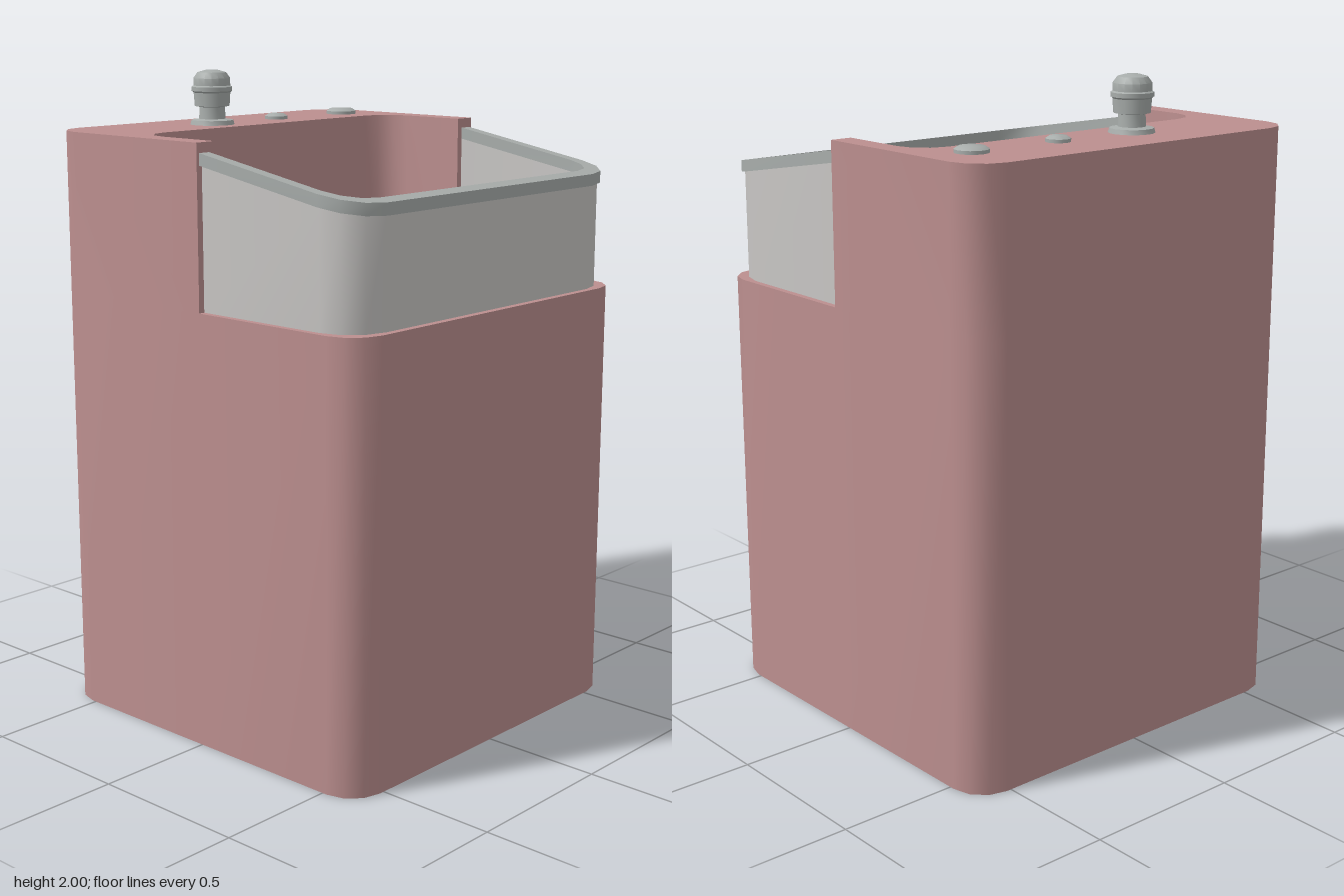
import * as THREE from 'three';
import { toCreasedNormals } from 'three/addons/utils/BufferGeometryUtils.js';

const CUT = 0.02;      // z of the step between the tall back and the low front
const LEDGE = 1.34;    // height of the front ledge
const TOP = 1.83;      // height of the back deck

// Half outline (U shape) from (+w, CUT) round two corners to (-w, CUT).
function halfOutline(w, zEnd, r) {
  const s = Math.sign(zEnd);
  const side = [[w, CUT]];
  for (let i = 0; i <= 3; i++) {
    const a = (i / 3) * Math.PI / 2;
    side.push([w - r + r * Math.cos(a), zEnd - s * r + s * r * Math.sin(a)]);
  }
  return [...side, ...side.map(([x, z]) => [-x, z]).reverse()];
}

// Closed outline made of the front half and the back half.
function fullOutline(w, zBack, zFront, r) {
  return [...halfOutline(w, zFront, r), ...halfOutline(w, zBack, r).reverse().slice(1, -1)];
}

// Lift an outline to a height, which may depend on z.
const at = (outline, y) => outline.map(([x, z]) => [x, typeof y === 'function' ? y(z) : y, z]);

// Skin between successive rings of equal length.
function loft(rings, closed) {
  const n = rings[0].length, index = [];
  for (let j = 0; j < rings.length - 1; j++) {
    for (let i = 0; i < (closed ? n : n - 1); i++) {
      const k = (i + 1) % n;
      const a = j * n + i, b = j * n + k, c = a + n, d = b + n;
      index.push(a, c, b, b, c, d);
    }
  }
  const geo = new THREE.BufferGeometry();
  geo.setAttribute('position', new THREE.Float32BufferAttribute(rings.flat(2), 3));
  geo.setIndex(index);
  return toCreasedNormals(geo, 0.62);
}

// Turned part from [radius, height] pairs.
function turned(profile, sides = 16) {
  const geo = new THREE.LatheGeometry(profile.map(([r, y]) => new THREE.Vector2(r, y)), sides);
  return toCreasedNormals(geo, 0.62);
}

export function createModel() {
  const model = new THREE.Group();
  model.name = 'washBasinCabinet';

  const pink = new THREE.MeshStandardMaterial({ color: 0xbc8f8f, side: THREE.DoubleSide });
  pink.name = 'dustyPink';
  const steel = new THREE.MeshStandardMaterial({ color: 0xc8c6c4, side: THREE.DoubleSide });
  steel.name = 'paleSteel';
  const metal = new THREE.MeshStandardMaterial({ color: 0xa8adab, side: THREE.DoubleSide });
  metal.name = 'greyMetal';

  const add = (name, geo, mat, x = 0, y = 0, z = 0) => {
    const mesh = new THREE.Mesh(geo, mat);
    mesh.name = name;
    mesh.position.set(x, y, z);
    model.add(mesh);
    return mesh;
  };

  // Cabinet: lower shell open underneath, front ledge, tall back with deck
  const outer = fullOutline(0.625, -0.625, 0.625, 0.11);
  const backOuter = halfOutline(0.625, -0.625, 0.11);
  const backInner = halfOutline(0.555, -0.3, 0.1);
  add('cabinetShell', loft([at(outer, 0), at(outer, LEDGE)], true), pink);
  add('frontLedge', loft([
    at(halfOutline(0.625, 0.625, 0.11), LEDGE),
    at(halfOutline(0.555, 0.555, 0.1), LEDGE),
  ]), pink);
  add('raisedBack', loft([
    at(backOuter, LEDGE), at(backOuter, TOP), at(backInner, TOP), at(backInner, LEDGE),
  ]), pink);
  for (const s of [-1, 1]) {
    add('stepFace', new THREE.PlaneGeometry(0.07, TOP - LEDGE), pink, s * 0.59, (TOP + LEDGE) / 2, CUT);
  }

  // Bowl: rounded sides running down to a flat floor
  const depth = 0.12;
  const bowl = [];
  for (let i = 0; i <= 6; i++) {
    const a = (i / 6) * Math.PI / 2, k = 1 - Math.cos(a);
    bowl.push(at(
      fullOutline(0.555 - 0.1 * k, -0.3 + 0.05 * k, 0.555 - 0.045 * k, 0.1 - 0.09 * k),
      LEDGE - depth * Math.sin(a)));
  }
  add('bowl', loft(bowl, true), steel);
  add('bowlFloor', new THREE.PlaneGeometry(0.91, 0.76).rotateX(-Math.PI / 2), steel, 0, LEDGE - depth, 0.13);

  // Drain in the floor
  add('drainRing', turned([[0.08, 0], [0.078, 0.008], [0.066, 0.008], [0.064, 0.002]], 24),
    steel, 0, LEDGE - depth, 0.12);
  add('drainCover', turned([[0.064, 0.003], [0, 0.003]], 24), metal, 0, LEDGE - depth, 0.12);

  // Splash guard: thin wall with a sloping rim
  const rimTop = z => 1.8 - 0.175 * (z - CUT);
  const rimLow = z => rimTop(z) - 0.036;
  const guardOut = halfOutline(0.605, 0.603, 0.13);
  const guardIn = halfOutline(0.575, 0.565, 0.11);
  const rimOut = halfOutline(0.615, 0.61, 0.135);
  add('splashGuardOutside', loft([at(guardOut, LEDGE), at(guardOut, rimLow)]), steel);
  add('splashGuardInside', loft([at(guardIn, rimLow), at(guardIn, LEDGE)]), steel);
  add('splashGuardRim', loft([
    at(guardOut, rimLow), at(rimOut, rimLow), at(rimOut, rimTop), at(guardIn, rimTop), at(guardIn, rimLow),
  ]), metal);

  // Drinking spout on the deck
  add('deckSpout', turned([
    [0.07, 0], [0.066, 0.014], [0.042, 0.018], [0.04, 0.055], [0.055, 0.058], [0.058, 0.1],
    [0.064, 0.105], [0.064, 0.118], [0.058, 0.122], [0.058, 0.145], [0.045, 0.163], [0.02, 0.17], [0, 0.17],
  ]), metal, -0.14, TOP, -0.42);

  // Push buttons on the deck
  for (const [x, r] of [[0.155, 0.037], [0.472, 0.05]]) {
    add('deckButton', turned([[r, 0], [r, 0.01], [r - 0.012, 0.018], [0, 0.018]]), metal, x, TOP, -0.425);
  }

  // Fittings on the back wall, turned to face forward
  add('wallNozzle', turned([
    [0.115, 0], [0.083, 0.06], [0.068, 0.06], [0.06, 0.042], [0.045, 0.042],
    [0.042, 0.055], [0.025, 0.055], [0.022, 0.045], [0, 0.045],
  ], 20), metal, -0.2, 1.49, -0.3).rotation.x = Math.PI / 2;
  add('wallButton', turned([
    [0.085, 0], [0.085, 0.026], [0.06, 0.04], [0.03, 0.049], [0, 0.051],
  ], 20), metal, 0.175, 1.49, -0.3).rotation.x = Math.PI / 2;

  return model;
}
